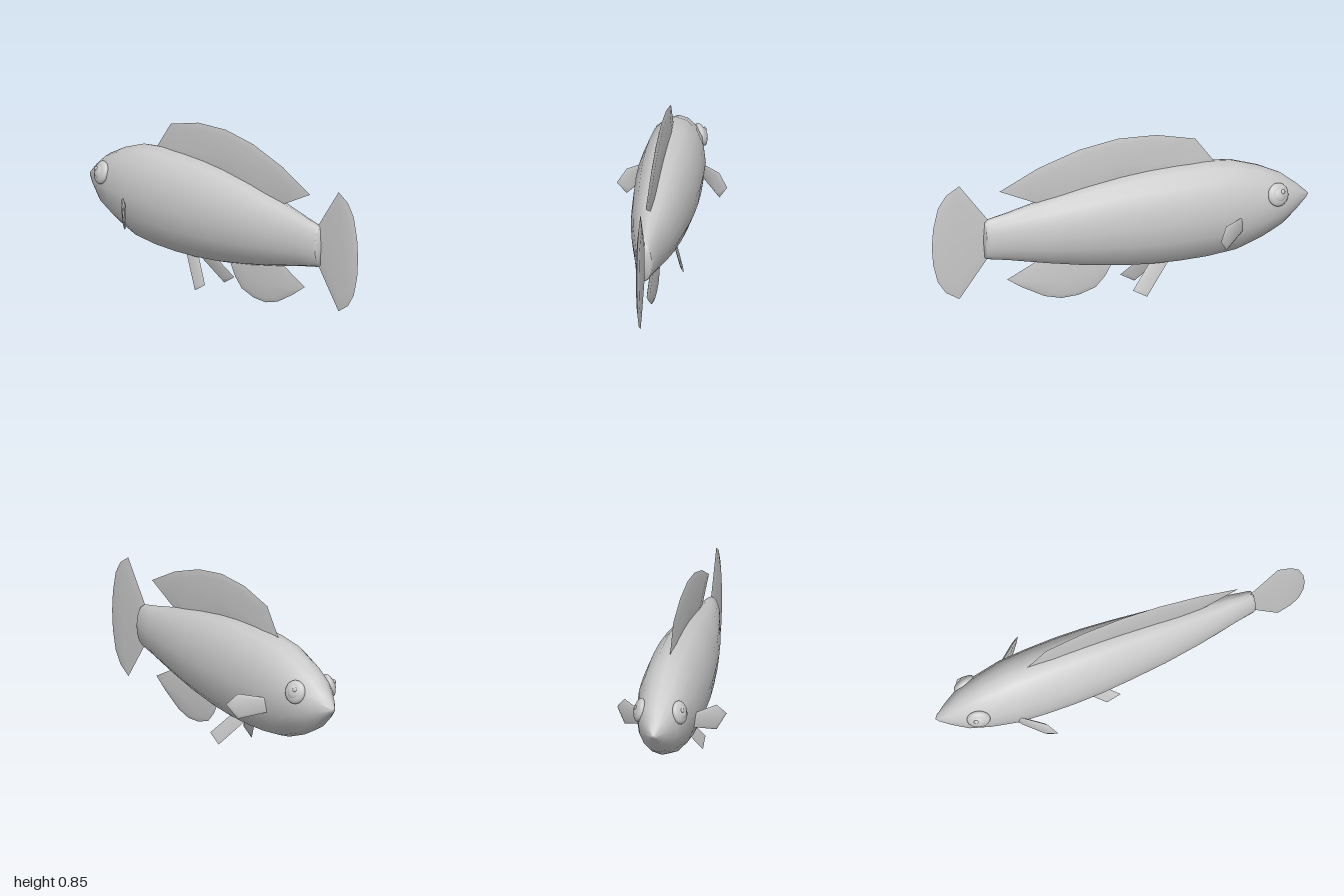
import * as THREE from 'three';
import { mergeVertices, toCreasedNormals } from 'three/addons/utils/BufferGeometryUtils.js';

const MID = 0.4; // height of the body axis
const material = new THREE.MeshStandardMaterial({ color: 0xcccccc });
const finMaterial = new THREE.MeshStandardMaterial({ color: 0xcccccc, side: THREE.DoubleSide });

// Body stations: [z, half height, half width], nose first
const stations = [
  [-1, 0, 0], [-0.985, 0.018, 0.018], [-0.93, 0.072, 0.055], [-0.85, 0.138, 0.1], [-0.74, 0.194, 0.128],
  [-0.6, 0.243, 0.152], [-0.45, 0.259, 0.16], [-0.3, 0.262, 0.163], [-0.15, 0.257, 0.159], [0, 0.244, 0.148],
  [0.2, 0.214, 0.13], [0.4, 0.174, 0.102], [0.6, 0.13, 0.064], [0.705, 0.11, 0.046], [0.72, 0.1, 0.04], [0.728, 0, 0],
];

// Lathe along z whose rings are squeezed to ellipses
function bodyGeometry() {
  let g = new THREE.LatheGeometry(stations.map(([z, h]) => new THREE.Vector2(h, z)), 16);
  g.rotateX(Math.PI / 2);
  const p = g.attributes.position;
  for (let i = 0; i < p.count; i++) {
    const [, h, w] = stations[i % stations.length];
    p.setX(i, h > 0 ? p.getX(i) * w / h : 0);
  }
  g.translate(0, MID, 0);
  g.deleteAttribute('uv');
  g.deleteAttribute('normal');
  g = mergeVertices(g, 1e-5);
  return toCreasedNormals(g, 1);
}

// Fin: thin rim, thicker middle; each face is a rim loop, an inner loop and a centre
function finGeometry(points, thickness) {
  const rim = points.map((p) => new THREE.Vector3(...p));
  const n = rim.length;
  const centre = new THREE.Vector3();
  const normal = new THREE.Vector3();
  rim.forEach((p, i) => {
    centre.addScaledVector(p, 1 / n);
    normal.add(new THREE.Vector3().crossVectors(p, rim[(i + 1) % n]));
  });
  normal.normalize();
  const pos = [];
  const index = [];
  for (const s of [1, -1]) {
    const base = pos.length / 3;
    const offset = normal.clone().multiplyScalar(s * thickness);
    rim.forEach((p) => pos.push(...p.toArray()));
    rim.forEach((p) => pos.push(...p.clone().lerp(centre, 0.25).add(offset).toArray()));
    pos.push(...centre.clone().add(offset).toArray());
    const tri = (a, b, c) => index.push(base + a, base + (s > 0 ? b : c), base + (s > 0 ? c : b));
    for (let i = 0; i < n; i++) {
      const j = (i + 1) % n;
      tri(i, j, n + j);
      tri(i, n + j, n + i);
      tri(n + i, n + j, 2 * n);
    }
  }
  const g = new THREE.BufferGeometry();
  g.setAttribute('position', new THREE.Float32BufferAttribute(pos, 3));
  g.setIndex(index);
  g.computeVertexNormals();
  return g;
}

export function createModel() {
  const model = new THREE.Group();
  const add = (name, geometry, mat = material, parent = model) => {
    const mesh = new THREE.Mesh(geometry, mat);
    mesh.name = name;
    parent.add(mesh);
    return mesh;
  };

  add('body', bodyGeometry());

  // Fins on the centre plane, as [z, y]
  const midFin = (name, outline) =>
    add(name, finGeometry(outline.map(([z, y]) => [0, y, z]), 0.008), finMaterial);
  midFin('dorsalFin', [
    [0.42, 0.55], [0.64, 0.655], [0.435, 0.755], [0.215, 0.825], [0.01, 0.855],
    [-0.195, 0.845], [-0.4, 0.793], [-0.5, 0.655], [-0.47, 0.62], [0, 0.6],
  ]);
  midFin('tailFin', [
    [0.7, 0.505], [0.855, 0.718], [0.925, 0.675], [0.968, 0.61], [0.993, 0.5], [1, 0.4],
    [0.993, 0.3], [0.968, 0.2], [0.925, 0.135], [0.853, 0.09], [0.7, 0.3],
  ]);
  midFin('analFin', [
    [0.42, 0.25], [0.6, 0.16], [0.52, 0.105], [0.4, 0.038], [0.31, 0.014], [0.22, 0.018],
    [0.13, 0.047], [0.08, 0.1], [0.03, 0.19],
  ]);

  // Paired fins and eyes
  for (const [side, s] of [['left', 1], ['right', -1]]) {
    const pairFin = (name, outline, t) =>
      add(side + name, finGeometry(outline.map(([x, y, z]) => [s * x, y, z]), t), finMaterial);
    pairFin('PectoralFin', [
      [0.14, 0.388, -0.605], [0.235, 0.395, -0.485], [0.28, 0.335, -0.442],
      [0.235, 0.262, -0.485], [0.14, 0.312, -0.605],
    ], 0.008);
    pairFin('PelvicFin', [
      [0.04, 0.17, -0.15], [0.1, 0.047, -0.035], [0.1, 0.002, -0.11], [0.025, 0.165, -0.26],
    ], 0.005);

    // Flattened eyeball, pupil and glint facing out along the head
    const eye = new THREE.Group();
    eye.name = side + 'Eye';
    eye.position.set(s * 0.1, 0.465, -0.805);
    eye.lookAt(s * 1.1, 0.465 + 0.3, -0.805 - 0.33);
    model.add(eye);
    const dome = (name, r, depth, x, y, z) => {
      const mesh = add(name, new THREE.SphereGeometry(r, 20, 12), material, eye);
      mesh.scale.z = depth / r;
      mesh.position.set(x, y, z);
    };
    dome('eyeball', 0.06, 0.026, 0, 0, 0.003);
    dome('pupil', 0.035, 0.016, 0, 0, 0.018);
    dome('glint', 0.012, 0.007, s * 0.014, 0.014, 0.031);
  }
  return model;
}
